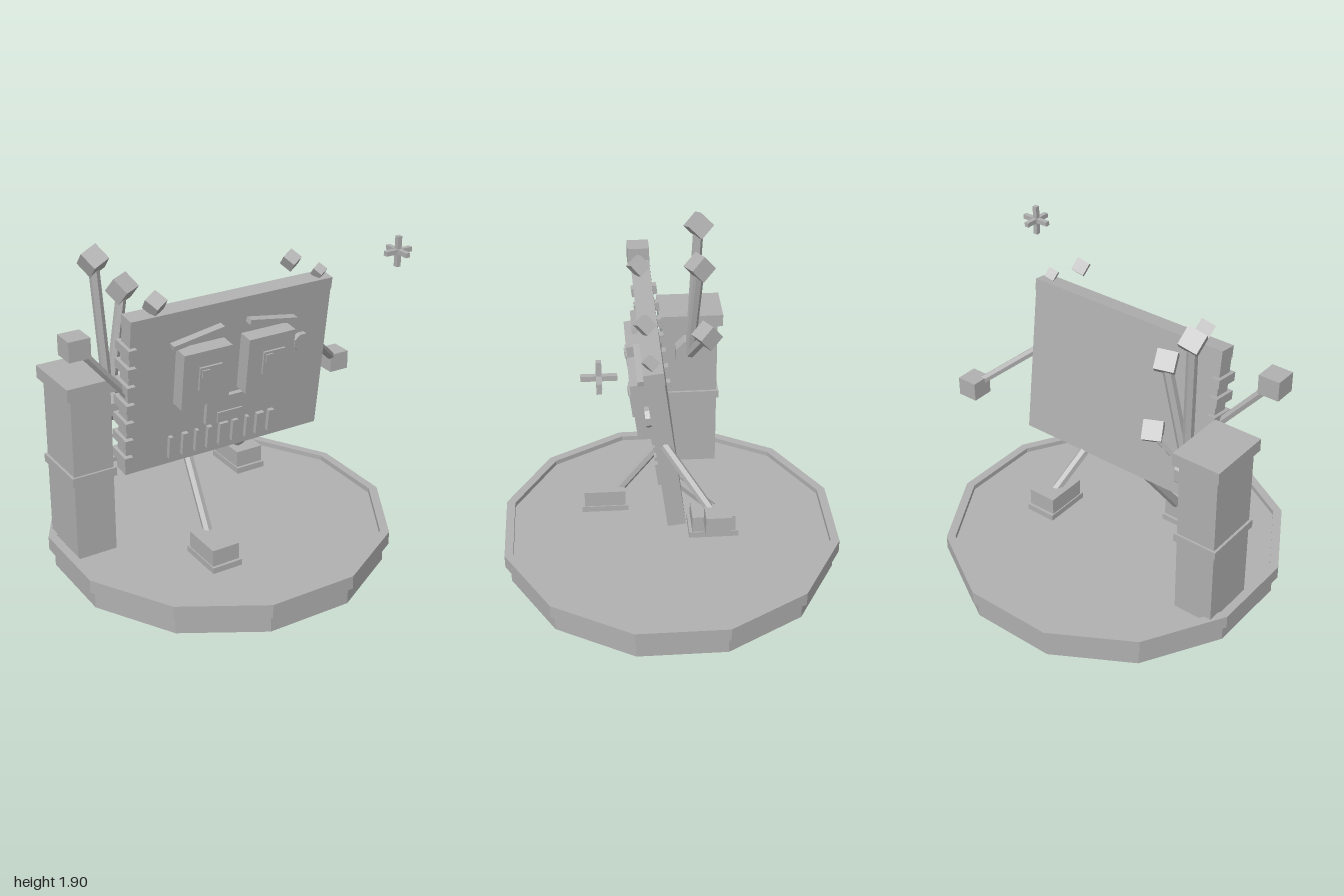
import * as THREE from 'three';

export function createModel() {
  const root = new THREE.Group();
  const grey = new THREE.MeshStandardMaterial({ color: 0xb0b0b0 });
  grey.name = 'plain grey';

  // Faceted mesh helper
  const add = (parent, name, geo, x = 0, y = 0, z = 0) => {
    const g = geo.index ? geo.toNonIndexed() : geo;
    g.computeVertexNormals();
    const m = new THREE.Mesh(g, grey);
    m.name = name;
    m.position.set(x, y, z);
    parent.add(m);
    return m;
  };
  const box = (parent, name, size, pos) => add(parent, name, new THREE.BoxGeometry(...size), ...pos);

  // Straight six-sided limb between two points
  const limb = (name, from, to, r) => {
    const a = new THREE.Vector3(...from), b = new THREE.Vector3(...to);
    const dir = b.clone().sub(a);
    const m = add(root, name, new THREE.CylinderGeometry(r, r, dir.length(), 6));
    m.position.copy(a).add(b).multiplyScalar(0.5);
    m.quaternion.setFromUnitVectors(new THREE.Vector3(0, 1, 0), dir.normalize());
    return m;
  };

  // Twelve-sided stand: stepped wall, raised rim, sunken floor
  const profile = [[0, 0], [0.978, 0], [0.978, 0.11], [1.01, 0.11], [1.01, 0.19],
    [0.958, 0.19], [0.958, 0.16], [0, 0.16]].map(p => new THREE.Vector2(...p));
  add(root, 'stand', new THREE.LatheGeometry(profile, 12, Math.PI / 12));

  // Post with band and cap
  box(root, 'post', [0.24, 1.0, 0.335], [-0.795, 0.65, -0.17]);
  box(root, 'postBand', [0.27, 0.05, 0.36], [-0.795, 0.655, -0.17]);
  box(root, 'postCap', [0.29, 0.075, 0.385], [-0.795, 1.18, -0.175]);

  // Leaning slab body; its parts use local coordinates
  const body = new THREE.Group();
  body.name = 'body';
  body.position.set(0, 1.125, 0.07);
  body.rotation.x = 0.126;
  root.add(body);
  box(body, 'slab', [1.27, 0.955, 0.098], [0, 0, 0]);
  box(body, 'topBand', [1.274, 0.07, 0.106], [0, 0.443, 0]);
  const face = 0.049;
  // Plate standing out from the front face
  const plate = (name, x, y, w, h, depth, base = 0) =>
    box(body, name, [w, h, depth], [x, y - 1.125, face + base + depth / 2]);

  // Binding rings down the right edge
  for (let i = 0; i < 7; i++)
    box(body, 'bindingRing', [0.05, 0.052, 0.15], [-0.63, 0.295 - i * 0.112, 0]);

  // Eyes and brows
  for (const s of [-1, 1]) {
    plate('eye', s * 0.205, 1.21, 0.3, 0.34, 0.09);
    const px = s < 0 ? -0.187 : 0.22;
    plate('pupil', px, 1.217, 0.14, 0.14, 0.012, 0.09);
    plate('eyeGlint', px - 0.035, 1.25, 0.045, 0.045, 0.008, 0.102);
    const brow = plate('brow', s * 0.237, 1.435, 0.315, 0.03, 0.045);
    brow.rotation.z = -s * 0.17;
  }

  // Round button, mouth and tongue
  const button = add(body, 'button', new THREE.CylinderGeometry(0.056, 0.056, 0.03, 8), 0.457, 0.118, face + 0.015);
  button.rotation.set(Math.PI / 2, Math.PI / 8, 0);
  plate('mouth', 0, 0.935, 0.3, 0.16, 0.028);
  plate('tongue', 0, 0.888, 0.16, 0.065, 0.01, 0.028);

  // Row of bars of varying width: [centre, width]
  for (const [x, w] of [[-0.365, 0.022], [-0.273, 0.034], [-0.197, 0.018], [-0.115, 0.028],
    [-0.022, 0.055], [0.053, 0.034], [0.136, 0.018], [0.222, 0.048], [0.297, 0.036]])
    plate('bar', x, 0.762, w, 0.138, 0.025);

  // Arms and hands
  for (const [shoulder, hand] of [
    [[-0.62, 1.14, 0.07], [-0.935, 1.508, 0.125]],
    [[0.62, 1.16, 0.075], [0.932, 0.9, -0.175]]]) {
    limb('arm', shoulder, hand, 0.025);
    box(root, 'hand', [0.125, 0.113, 0.13], hand);
  }

  // Legs and soled shoes: hip, ankle, shoe centre, shoe base height
  for (const [hip, ankle, x, y, z] of [
    [[-0.212, 0.67, -0.005], [-0.245, 0.26, 0.3], -0.258, 0.16, 0.38],
    [[0.212, 0.67, 0.01], [0.272, 0.44, -0.265], 0.28, 0.35, -0.222]]) {
    limb('leg', hip, ankle, 0.028);
    box(root, 'shoeSole', [0.184, 0.036, 0.28], [x, y + 0.018, z]);
    box(root, 'shoe', [0.17, 0.1, 0.245], [x, y + 0.085, z]);
  }

  // Hub on the post with three cube-tipped stalks
  const hub = add(root, 'hub', new THREE.CylinderGeometry(0.098, 0.098, 0.09, 8), -0.635, 0.985, -0.17);
  hub.rotation.set(Math.PI / 8, 0, Math.PI / 2);
  for (const [tip, rot] of [
    [[-0.645, 1.81, -0.212], [0.75, 0.4, 0.1]],
    [[-0.482, 1.625, -0.205], [0.75, 0.4, -0.2]],
    [[-0.44, 1.2, -0.25], [0.75, 0.4, -0.3]]]) {
    limb('stalk', [-0.605, 0.99, -0.165], tip, 0.03);
    box(root, 'stalkTip', [0.108, 0.108, 0.108], tip).rotation.set(...rot);
  }

  // Loose floating cubes
  for (const [x, y, z, s] of [[-0.475, 1.65, 0.145, 0.085], [0.37, 1.735, 0.155, 0.074], [0.572, 1.628, 0.14, 0.058]])
    box(root, 'floatingCube', [s, s, s], [x, y, z]).rotation.set(0.65, 0.5, 0.15);

  // Floating three-axis sparkle
  for (let i = 0; i < 3; i++) {
    const size = [0.027, 0.027, 0.027];
    size[i] = 0.175;
    box(root, 'sparkleBar', size, [0.91, 1.762, 0.405]);
  }

  return root;
}
